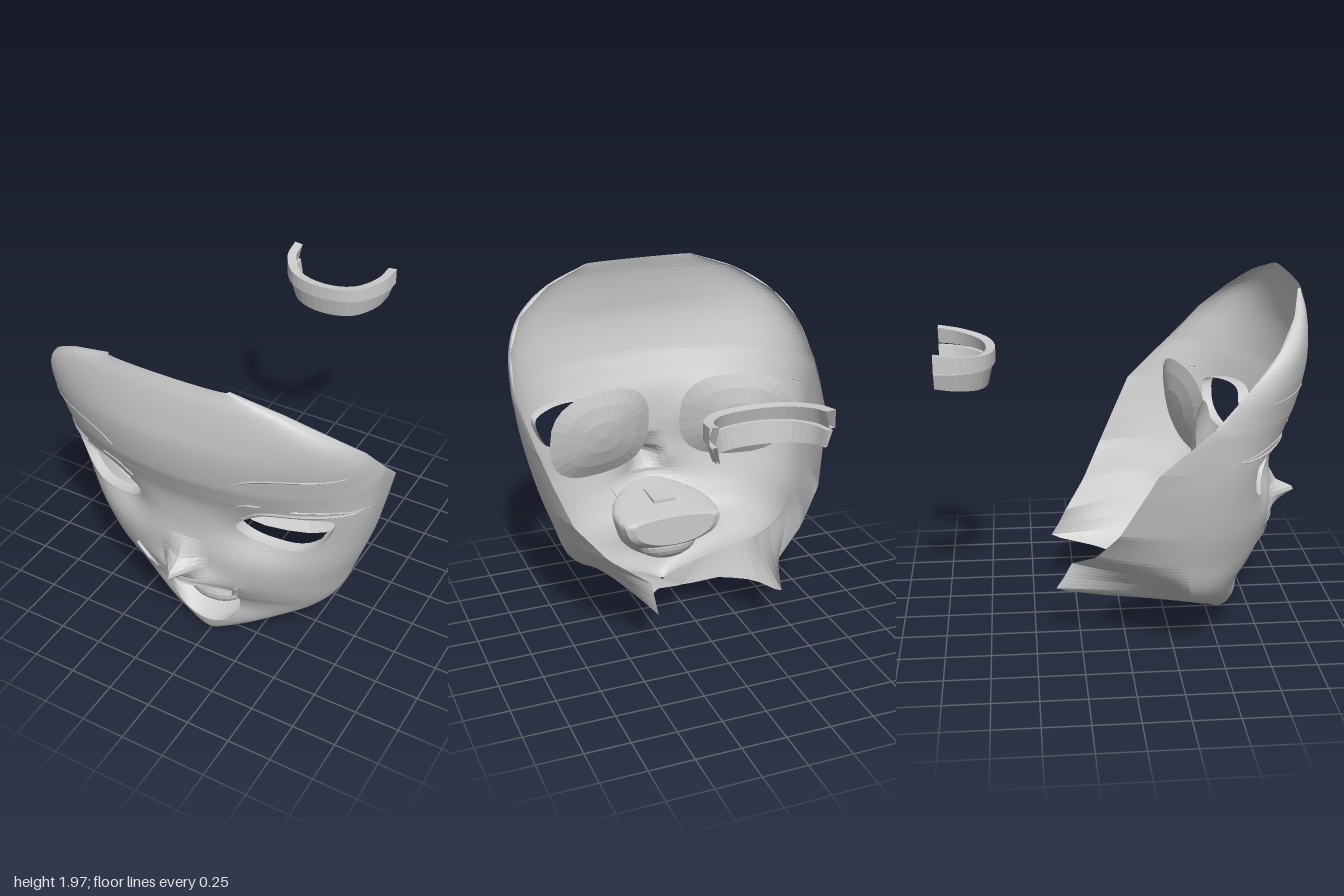
import * as THREE from 'three';

const material = new THREE.MeshStandardMaterial({ color: 0xcccccc, flatShading: true, side: THREE.DoubleSide });
const lerp = THREE.MathUtils.lerp;

// Horizontal sections: y, centre z, half width, z at the widest point, back edge x, back edge z, bend towards the back
const sections = [
  [0, 0.58, 0.01, 0.57, 0, 0.55, 1],
  [0.05, 0.62, 0.09, 0.56, 0, 0.42, 1],
  [0.14, 0.65, 0.26, 0.5, 0, 0.2, 1],
  [0.2, 0.66, 0.37, 0.45, 0.2, 0.11, 1],
  [0.25, 0.66, 0.465, 0.4, 0.33, -0.08, 0.9],
  [0.32, 0.66, 0.58, 0.35, 0.37, -0.39, 0.5],
  [0.4, 0.685, 0.66, 0.32, 0.375, -0.34, 0.7],
  [0.48, 0.735, 0.705, 0.3, 0.38, -0.3, 1.15],
  [0.6, 0.79, 0.745, 0.3, 0.58, -0.18, 1.8],
  [0.78, 0.825, 0.805, 0.33, 0.74, -0.07, 2],
  [1.0, 0.825, 0.86, 0.37, 0.82, 0.04, 2],
  [1.16, 0.845, 0.89, 0.4, 0.87, 0.12, 2],
  [1.3, 0.9, 0.91, 0.4, 0.9, 0.27, 2],
  [1.4, 0.94, 0.918, 0.42, 0.915, 0.38, 2],
  [1.6, 0.975, 0.885, 0.57, 0.885, 0.56, 2],
  [1.75, 0.968, 0.785, 0.72, 0.785, 0.71, 2],
  [1.88, 0.95, 0.59, 0.83, 0.59, 0.82, 2],
  [1.97, 0.925, 0.33, 0.9, 0.33, 0.89, 2],
];

// Row of a table at height y; the columns before "smooth" follow a smooth curve, the others straight lines
function table(rows, y, smooth = 0) {
  let i = 0;
  while (i < rows.length - 2 && y > rows[i + 1][0]) i++;
  const p = rows[Math.max(0, i - 1)], a = rows[i], b = rows[i + 1], q = rows[Math.min(rows.length - 1, i + 2)];
  const h = b[0] - a[0], k = THREE.MathUtils.clamp((y - a[0]) / h, 0, 1);
  return a.map((v, j) => {
    if (j >= smooth) return lerp(v, b[j], k);
    const m0 = ((b[j] - p[j]) / (b[0] - p[0])) * h, m1 = ((q[j] - v) / (q[0] - a[0])) * h;
    const d = b[j] - v;
    return v + k * (m0 + k * (3 * d - 2 * m0 - m1 + k * (m0 + m1 - 2 * d)));
  });
}
const section = (y) => table(sections, y, 4);

// Height of the nose above the face along its length
const noseProfile = [[0.64, 0], [0.68, 0.08], [0.72, 0.165], [0.74, 0.165], [0.79, 0.06], [0.9, 0]];

// Depth of the front of the face
function frontZ(x, y) {
  const [, zc, w, zw] = section(y);
  const s = Math.min(1, Math.abs(x) / w);
  const nose = table(noseProfile, y)[1] * Math.max(0, 1 - Math.abs(x) / 0.12);
  const muzzle = 0.07 * Math.exp(-((x / 0.18) ** 2) - ((y - 0.61) / 0.08) ** 2);
  const socket = 0.06 * Math.exp(-(((Math.abs(x) - 0.42) / 0.17) ** 2) - ((y - 0.99) / 0.13) ** 2);
  return zw + (zc - zw) * (1 - s * s) ** 0.45 + nose + muzzle - socket;
}

function outline(points, count) {
  const curve = new THREE.CatmullRomCurve3(points.map(([x, y]) => new THREE.Vector3(x, y, 0)), true);
  return curve.getPoints(count).slice(0, count).map((p) => [p.x, p.y]);
}
const eye = outline([[0.77, 1.17], [0.68, 1.2], [0.46, 1.195], [0.36, 1.13], [0.285, 1.06], [0.31, 1.0],
  [0.39, 0.945], [0.6, 0.935], [0.7, 0.99], [0.75, 1.07]], 56);
const mouth = outline([[0, 0.585], [0.12, 0.57], [0.23, 0.52], [0.235, 0.4], [0.2, 0.26], [0.11, 0.16], [0, 0.13],
  [-0.11, 0.16], [-0.2, 0.26], [-0.235, 0.4], [-0.23, 0.52], [-0.12, 0.57]], 56);

function inside(poly, x, y) {
  let hit = false;
  poly.forEach(([ax, ay], i) => {
    const [bx, by] = poly[(i + 1) % poly.length];
    if (ay > y !== by > y && x < ax + ((y - ay) / (by - ay)) * (bx - ax)) hit = !hit;
  });
  return hit;
}

// Skin over a list of equally long point rows; triangles rejected by keep are left out
function skin(name, rows, closed = false, keep = () => true) {
  const n = rows[0].length, index = [];
  for (let r = 0; r < rows.length - 1; r++) {
    for (let c = 0; c < (closed ? n : n - 1); c++) {
      const a = r * n + c, b = r * n + ((c + 1) % n);
      for (const t of [[a, b, b + n], [a, b + n, a + n]]) if (keep(t)) index.push(...t);
    }
  }
  const g = new THREE.BufferGeometry();
  g.setAttribute('position', new THREE.Float32BufferAttribute(rows.flat(2), 3));
  g.setIndex(index);
  g.computeVertexNormals();
  const m = new THREE.Mesh(g, material);
  m.name = name;
  return m;
}

// Face shell with eye and mouth openings
function makeFace() {
  const cols = 100, levels = 90, rows = [], removed = [];
  for (let r = 0; r <= levels; r++) {
    const y0 = (1.97 * r) / levels, row = [];
    const [, , w, zw, xb, zb, bend] = section(y0);
    for (let c = 0; c <= cols; c++) {
      const u = (2 * c) / cols - 1, a = Math.abs(u), side = Math.sign(u);
      let x, y = y0, z, cut = false;
      if (a < 0.72) {
        x = w * Math.sin((a / 0.72) * Math.PI / 2) * side;
        const px = Math.abs(x);
        const hole = inside(eye, px, y) ? eye : inside(mouth, px, y) ? mouth : null;
        if (hole) {
          cut = true;
          let best = Infinity, to = null;
          for (const q of hole) {
            const d = (q[0] - px) ** 2 + (q[1] - y0) ** 2;
            if (d < best) { best = d; to = q; }
          }
          x = to[0] * (side || 1);
          y = to[1];
        }
        z = frontZ(x, y);
      } else {
        const t = (a - 0.72) / 0.28;
        x = lerp(w, xb, t ** bend) * side;
        z = lerp(zw, zb, t);
      }
      row.push([x, y, z]);
      removed.push(cut);
    }
    rows.push(row);
  }
  return skin('face', rows, false, (t) => !t.every((i) => removed[i]));
}

// Thin raised strip following the face, tapering to both ends
function ribbon(name, points, width, lift, s) {
  const path = new THREE.CatmullRomCurve3(points.map(([x, y]) => new THREE.Vector3(x, y, 0))).getPoints(16);
  const rows = [0, 0.5, 1].map((k) => path.map((p, i) => {
    const y = p.y + (k - 0.5) * width * Math.sin(Math.PI * (0.06 + 0.88 * i / 16));
    return [p.x * s, y, frontZ(p.x, y) + (k === 0.5 ? lift : 0.002)];
  }));
  return skin(name, rows);
}

// Curved, squarish plate behind an eye opening
function eyePlate(s) {
  const square = (v) => Math.sign(v) * Math.abs(v) ** 0.75;
  const rows = [0.001, 0.35, 0.7, 1].map((r) => Array.from({ length: 24 }, (_, i) => {
    const a = (i / 24) * Math.PI * 2;
    const x = 0.42 + 0.325 * r * square(Math.cos(a)), dy = 0.27 * r * square(Math.sin(a));
    return [x * s, 1.1 + dy, 0.53 - 0.26 * x - 0.07 * (1 - r * r) - 0.16 * dy];
  }));
  return skin('eyePlate', rows, true);
}

// U-shaped band of teeth; each section corner is [inset, height at front, height at back]
function toothBand(name, corners) {
  const path = new THREE.CatmullRomCurve3([[-0.33, -1], [-0.31, -0.87], [-0.2, -0.73], [0, -0.68],
    [0.2, -0.73], [0.31, -0.87], [0.33, -1]].map(([x, z]) => new THREE.Vector3(x, 0, z)));
  const rows = path.getPoints(24).map((p) => corners.map(([inset, front, back]) => {
    const k = (-0.68 - p.z) / 0.32;
    return [p.x * (1 - inset / 0.33), lerp(front, back, k), p.z - inset * (1 - k)];
  }));
  return skin(name, rows, true);
}

export function createModel() {
  const model = new THREE.Group();
  model.add(makeFace());

  // Paired eye parts and brows
  for (const s of [1, -1]) {
    const rim = [[1, 0], [0.98, 0.03], [0.95, 0.06]].map(([k, d]) => eye.map(([x, y]) =>
      [(0.53 + (x - 0.53) * k) * s, 1.07 + (y - 1.07) * k, frontZ(x, y) - d]));
    model.add(skin('eyeRim', rim, true), eyePlate(s));
    model.add(ribbon('eyebrow', [[0.34, 1.43], [0.42, 1.48], [0.58, 1.515], [0.85, 1.51]], 0.018, 0.006, s));
    model.add(ribbon('upperLash', [[0.33, 1.13], [0.45, 1.215], [0.68, 1.225], [0.89, 1.21]], 0.03, 0.01, s));
    model.add(ribbon('eyelidFold', [[0.29, 1.19], [0.37, 1.27], [0.46, 1.29]], 0.02, 0.008, s));
    model.add(ribbon('eyelidCrease', [[0.6, 1.27], [0.75, 1.255], [0.88, 1.22]], 0.02, 0.008, s));

    // Sharp fold beside each mouth corner
    const fold = [[0.24, 0.5], [0.27, 0.58], [0.34, 0.66]].map(([x, y], i) =>
      [-1, 0, 1].map((k) => [(x + k * 0.025 * (1 - i / 2)) * s, y, frontZ(x, y) + (k ? 0 : 0.02)]));
    model.add(skin('cheekFold', fold));
  }

  // Mouth cavity with a floor rising to the back wall
  const spread = [1, 1.2, 1.32, 1.32, 1.25, 1.05];
  const cavity = [0, 0.15, 0.4, 0.7, 0.92, 1].map((k, i) => mouth.map(([x, y]) =>
    [x * spread[i], lerp(y, 0.5, k * 0.6), lerp(frontZ(x, y), 0.33, k)]));
  cavity.push(mouth.map(() => [0, 0.47, 0.33]));
  model.add(skin('mouthCavity', cavity, true));

  // Upper lip edge
  const lip = Array.from({ length: 17 }, (_, i) => -0.24 + 0.03 * i);
  model.add(skin('upperLip', [0, 1, 2].map((k) => lip.map((x) => {
    const y = 0.59 - 1.2 * x * x + (k - 1) * 0.018;
    return [x, y, frontZ(x, y) + (k === 1 ? 0.012 : 0)];
  }))));

  // Tongue, small fang and tab on the palate
  const tongue = new THREE.Mesh(new THREE.SphereGeometry(1, 20, 12), material);
  tongue.name = 'tongue';
  tongue.scale.set(0.19, 0.11, 0.13);
  tongue.rotation.x = 0.3;
  tongue.position.set(0, 0.31, 0.49);
  const fang = new THREE.Mesh(new THREE.ConeGeometry(0.04, 0.08, 5), material);
  fang.name = 'fang';
  fang.rotation.x = Math.PI;
  fang.position.set(-0.14, 0.51, 0.7);
  const tab = new THREE.Mesh(new THREE.BoxGeometry(0.14, 0.02, 0.19), material);
  tab.name = 'palateTab';
  tab.position.set(0, 0.565, 0.6);
  model.add(tongue, fang, tab);

  // Separate rows of teeth behind the head
  model.add(toothBand('upperTeeth', [[0, 1.53, 1.555], [0, 1.605, 1.65], [0.05, 1.6, 1.645], [0.03, 1.53, 1.555]]));
  model.add(toothBand('lowerTeeth', [[0.04, 1.41, 1.46], [0.012, 1.525, 1.545], [0.04, 1.525, 1.545], [0.055, 1.41, 1.46]]));
  return model;
}
